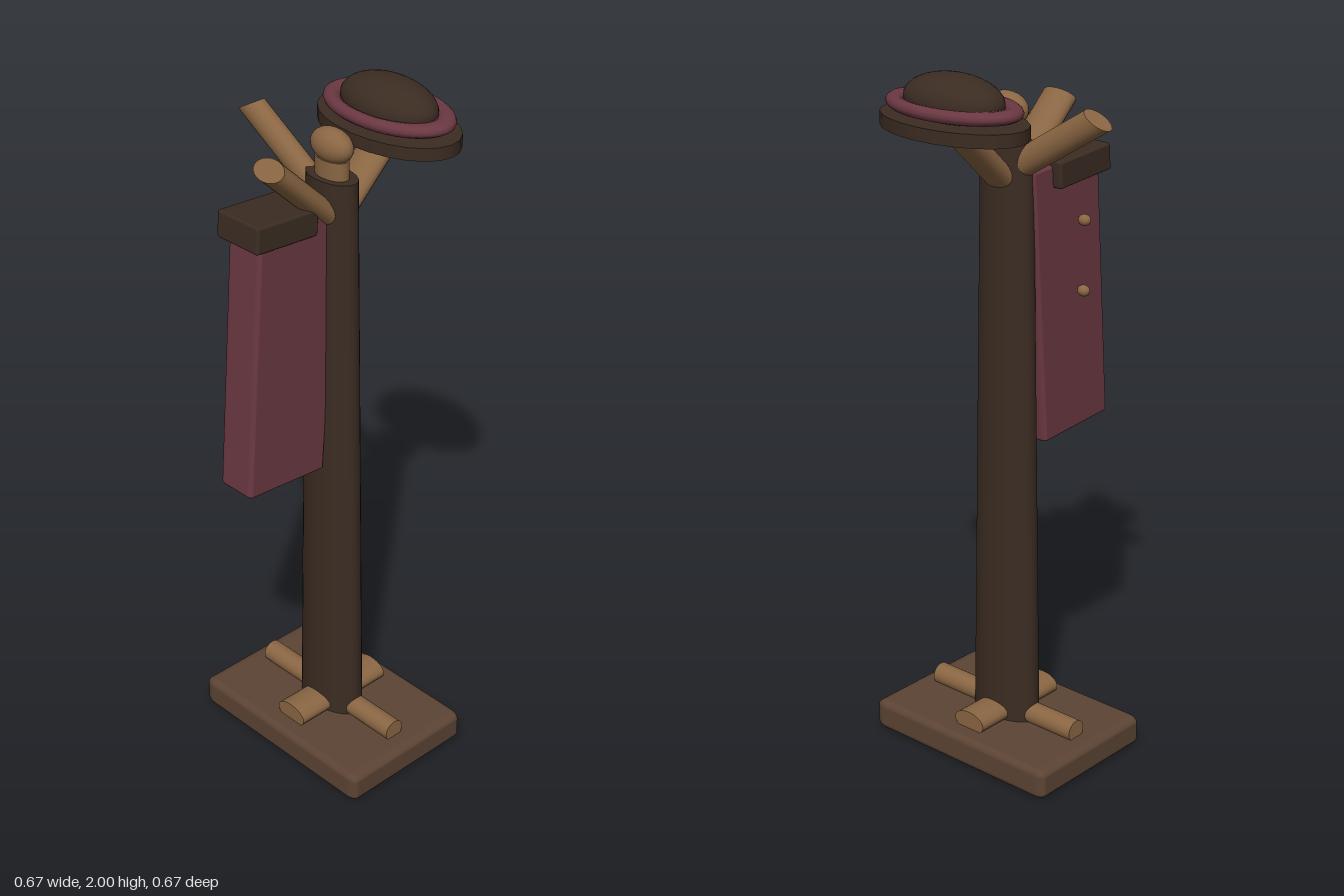
import * as THREE from 'three';
import { RoundedBoxGeometry } from 'three/addons/geometries/RoundedBoxGeometry.js';

const STRETCH = 1.68; // the stand is deeper than wide: round parts become ovals

function flat(name, hex) {
  const m = new THREE.MeshStandardMaterial({ color: hex });
  m.name = name;
  return m;
}

export function createModel() {
  const model = new THREE.Group();
  model.name = 'coatStand';
  const darkWood = flat('dark wood', 0x3b2c22);
  const midWood = flat('mid wood', 0x5c4434);
  const lightWood = flat('light wood', 0x8a6643);
  const cloth = flat('maroon cloth', 0x6b3842);

  // Everything is built round the post axis, then stretched in depth
  const stand = new THREE.Group();
  stand.name = 'stand';
  stand.position.set(-0.007, 0, 0.009);
  stand.scale.z = STRETCH;
  model.add(stand);

  function add(name, geometry, material, x = 0, y = 0, z = 0) {
    const mesh = new THREE.Mesh(geometry, material);
    mesh.name = name;
    mesh.position.set(x, y, z);
    stand.add(mesh);
    return mesh;
  }

  // Round rod between two points
  function rod(name, from, to, radius, material) {
    const a = new THREE.Vector3(...from), b = new THREE.Vector3(...to);
    const dir = b.clone().sub(a);
    const mesh = add(name, new THREE.CylinderGeometry(radius, radius, dir.length(), 24), material);
    mesh.position.copy(a).add(b).multiplyScalar(0.5);
    mesh.quaternion.setFromUnitVectors(new THREE.Vector3(0, 1, 0), dir.normalize());
    return mesh;
  }

  // Base, post and finial
  add('base', new RoundedBoxGeometry(0.437, 0.09, 0.384, 4, 0.02), midWood, 0, 0.045, 0);
  add('post', new THREE.CylinderGeometry(0.05, 0.066, 1.71, 32), darkWood, 0, 0.935, 0);
  add('finialNeck', new THREE.CylinderGeometry(0.033, 0.033, 0.06, 24), lightWood, 0, 1.81, 0);
  add('finial', new THREE.SphereGeometry(0.041, 24, 16), lightWood, 0, 1.872, 0).scale.y = 1.15;

  // Four short feet lying on the base
  for (let i = 0; i < 4; i++) {
    const a = i * Math.PI / 2, r = i % 2 ? 0.156 : 0.164;
    rod('foot', [0, 0.11, 0], [Math.cos(a) * r, 0.11, Math.sin(a) * r], 0.032, lightWood);
  }

  // Three raised arms
  rod('rightArm', [0, 1.665, 0], [-0.216, 1.87, 0], 0.032, lightWood);
  rod('leftArm', [0, 1.665, 0], [0.205, 1.86, 0], 0.032, lightWood);
  rod('backArm', [0, 1.7, 0], [0, 1.89, -0.183], 0.032, lightWood);

  // Hat on the left arm: brim, band and crown
  const hatX = 0.203;
  add('hatBrim', new THREE.CylinderGeometry(0.137, 0.137, 0.036, 24), darkWood, hatX, 1.867, 0);
  const band = add('hatBand', new THREE.TorusGeometry(0.108, 0.018, 12, 40), cloth, hatX, 1.915, 0);
  band.rotation.x = Math.PI / 2;
  add('hatCrown', new THREE.SphereGeometry(0.093, 32, 20), darkWood, hatX, 1.93, 0).scale.y = 0.753;

  // Hanging coat on the right, slightly tilted, with a collar and back buttons
  const tilt = -0.07;
  const coat = add('coat', new RoundedBoxGeometry(0.27, 0.785, 0.073, 3, 0.01), cloth, -0.165, 1.331, -0.0185);
  coat.rotation.z = tilt;
  const collar = add('collar', new RoundedBoxGeometry(0.21, 0.076, 0.094, 3, 0.007), darkWood, -0.184, 1.7, -0.0255);
  collar.rotation.z = tilt;
  for (const y of [1.55, 1.35]) {
    add('button', new THREE.SphereGeometry(0.016, 16, 12), lightWood, -0.183, y, -0.07).scale.z = 1 / STRETCH * 1.2;
  }

  return model;
}
